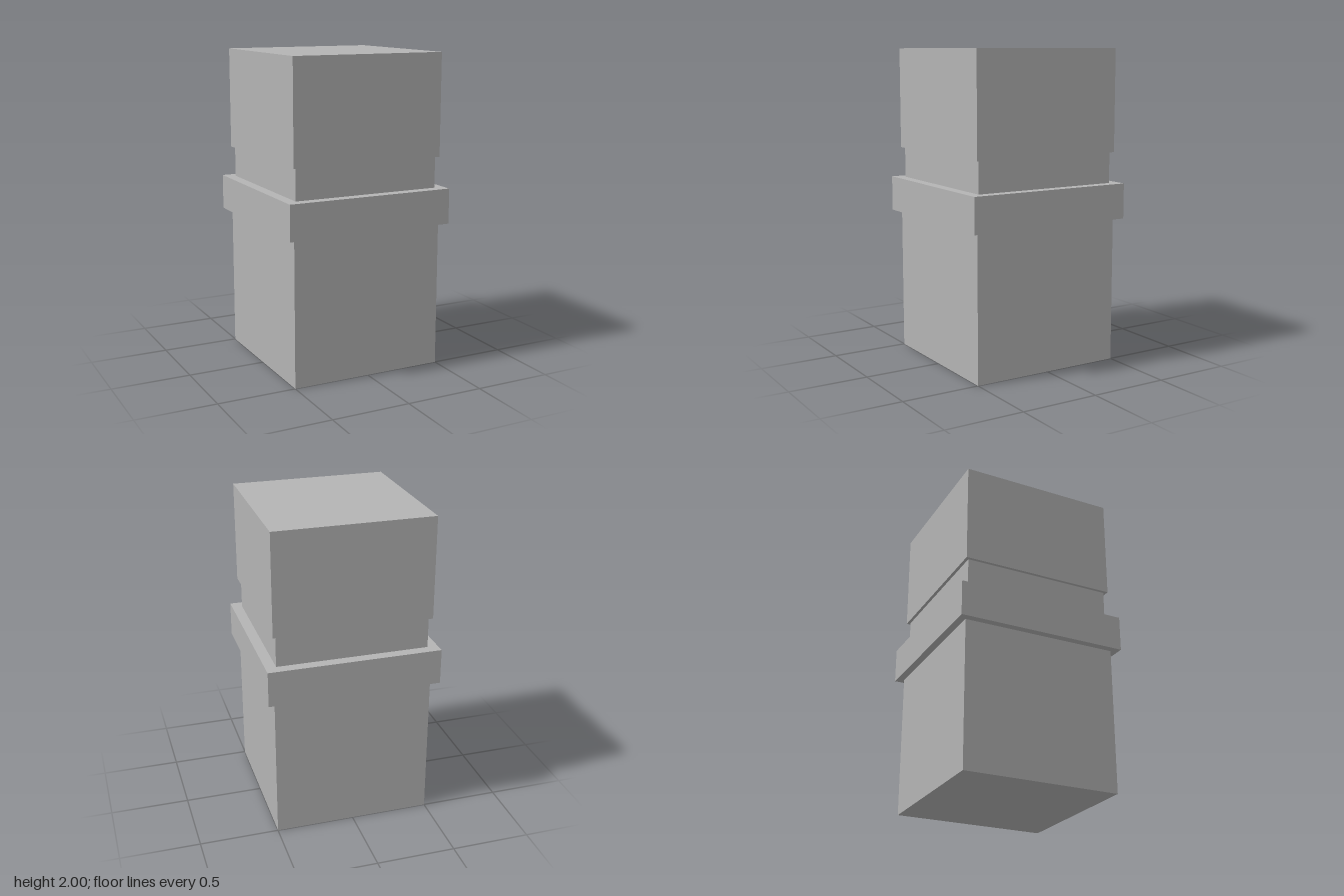
import * as THREE from 'three';

export function createModel() {
  const model = new THREE.Group();
  model.name = 'bandedSquarePillar';

  const grey = new THREE.MeshStandardMaterial({ color: 0xb4b4b4 });
  grey.name = 'plain grey';

  // Square block of the given width between two heights
  function block(name, width, bottom, top) {
    const mesh = new THREE.Mesh(new THREE.BoxGeometry(width, top - bottom, width), grey);
    mesh.name = name;
    mesh.position.y = (bottom + top) / 2;
    model.add(mesh);
  }

  block('lowerBlock', 1.0, 0, 0.93);
  block('projectingBand', 1.094, 0.93, 1.155);
  block('recessedNeck', 0.96, 1.155, 1.352);
  block('upperBlock', 1.0, 1.352, 2);

  return model;
}
